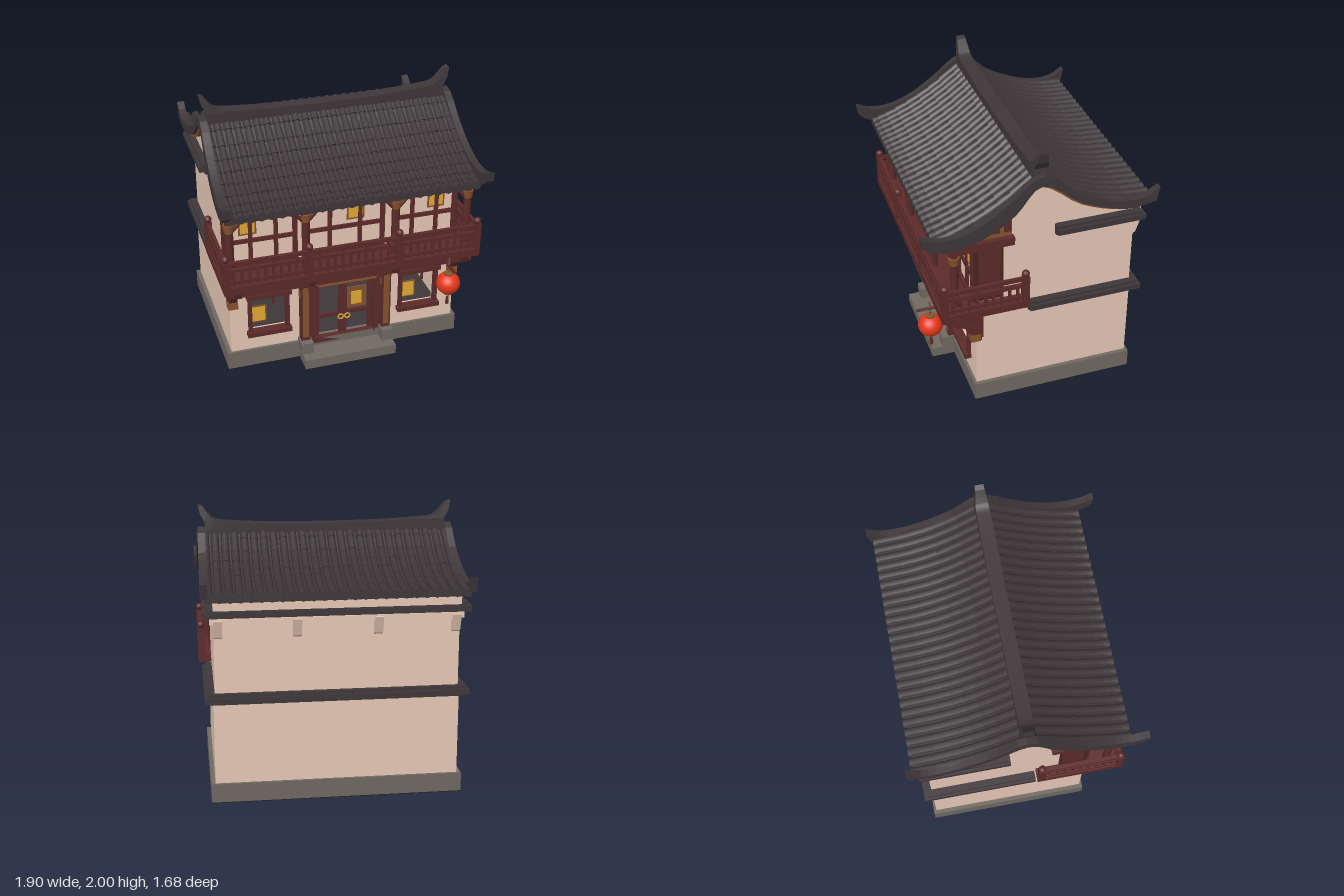
import * as THREE from 'three';
import { mergeGeometries } from 'three/addons/utils/BufferGeometryUtils.js';

const mat = (name, color) => new THREE.MeshStandardMaterial({ name, color });
const V = (x, y, z) => new THREE.Vector3(x, y, z);

export function createModel() {
  const house = new THREE.Group();
  house.name = 'house';
  const tile = mat('charcoal tile', 0x3e3739), plaster = mat('plaster', 0xebccba);
  const wood = mat('dark red wood', 0x5d2a2a), brown = mat('brown wood', 0x87532f);
  const gold = mat('gold', 0xe2ab34), red = mat('lantern red', 0xe43719);
  const stone = mat('stone', 0x706962), darkWood = mat('plaque wood', 0x4c2422);
  const shade = mat('dark underside', 0x211f1c);

  const add = (name, geo, m) => {
    const mesh = new THREE.Mesh(geo, m);
    mesh.name = name;
    house.add(mesh);
    return mesh;
  };
  // box given by its limits on each axis
  const boxGeo = (x0, x1, y0, y1, z0, z1) =>
    new THREE.BoxGeometry(x1 - x0, y1 - y0, z1 - z0).translate((x0 + x1) / 2, (y0 + y1) / 2, (z0 + z1) / 2);
  const box = (name, m, ...b) => add(name, boxGeo(...b), m);
  // round bar between two points
  const rod = (a, b, r0, r1 = r0, sides = 6) => {
    const d = b.clone().sub(a);
    const q = new THREE.Quaternion().setFromUnitVectors(V(0, 1, 0), d.clone().normalize());
    const g = new THREE.CylinderGeometry(r1, r0, d.length(), sides);
    return g.applyQuaternion(q).translate((a.x + b.x) / 2, (a.y + b.y) / 2, (a.z + b.z) / 2);
  };
  const poly = pts => new THREE.Shape(pts.map(p => new THREE.Vector2(p[0], p[1])));
  // side outline of [z, y] points, extruded across x
  const sideSlab = (pts, x0, x1) => new THREE.ExtrudeGeometry(poly(pts), { depth: x1 - x0, bevelEnabled: false })
    .rotateY(-Math.PI / 2).translate(x1, 0, 0);
  const smooth = (pts, n) => new THREE.SplineCurve(pts.map(p => new THREE.Vector2(...p))).getPoints(n).map(p => [p.x, p.y]);
  // move every vertex by a rule
  const warp = (g, rule) => {
    const p = g.attributes.position;
    for (let i = 0; i < p.count; i++) p.setXYZ(i, ...rule(p.getX(i), p.getY(i), p.getZ(i)));
    g.computeVertexNormals();
    return g;
  };
  let seed = 7;
  const rand = () => (seed = (seed * 16807) % 2147483647) / 2147483647;

  // stone plinth, step, pedestals, dark underside and interior floor
  box('plinth', stone, -0.89, 0.89, 0.004, 0.14, -0.72, 0.47);
  box('doorStep', stone, -0.35, 0.35, 0.004, 0.08, 0.46, 0.64);
  box('plinthUnderside', shade, -0.89, 0.89, 0, 0.005, -0.72, 0.47);
  box('stepUnderside', shade, -0.35, 0.35, 0, 0.005, 0.47, 0.64);
  for (const s of [-1, 1]) box('pedestal', stone, s * 0.31 - 0.045, s * 0.31 + 0.045, 0.07, 0.17, 0.44, 0.56);
  box('interiorFloor', tile, -0.82, 0.82, 0.138, 0.146, -0.65, 0.4);

  // lower storey: hollow room with door and window openings
  const front = poly([[-0.86, 0.13], [0.86, 0.13], [0.86, 0.78], [-0.86, 0.78]]);
  const cut = (x0, x1, y0, y1) => front.holes.push(new THREE.Path(
    [[x0, y0], [x0, y1], [x1, y1], [x1, y0]].map(p => new THREE.Vector2(...p))));
  cut(-0.25, 0.25, 0.14, 0.61);
  cut(-0.71, -0.44, 0.29, 0.6);
  cut(0.44, 0.71, 0.29, 0.6);
  add('lowerFrontWall', new THREE.ExtrudeGeometry(front, { depth: 0.05, bevelEnabled: false }).translate(0, 0, 0.4), plaster);
  for (const s of [-1, 1]) box('lowerSideWall', plaster, s * 0.84 - 0.02, s * 0.84 + 0.02, 0.13, 0.78, -0.7, 0.45);
  box('lowerBackWall', plaster, -0.86, 0.86, 0.13, 0.78, -0.7, -0.65);

  // upper storey with gables
  add('upperWalls', sideSlab([[-0.7, 0.76], [0.45, 0.76], [0.45, 1.47], [0.2, 1.62], [0, 1.77],
    [-0.2, 1.635], [-0.4, 1.535], [-0.7, 1.47]], -0.85, 0.85), plaster);
  for (const s of [-1, 1]) {
    const sx = s * 0.852;
    box('sideScreen', darkWood, sx - 0.006, sx + 0.006, 0.87, 1.36, 0.25, 0.46);
    box('sideScreenPanel', wood, sx - 0.009, sx + 0.009, 0.9, 1.33, 0.27, 0.425);
    add('gableInfill', sideSlab([[0.19, 1.36], [0.6, 1.36], [0.6, 1.425], [0.46, 1.45], [0.19, 1.62]], sx - 0.006, sx + 0.006), brown);
    for (const z of [0.2, 0.28]) box('gableStrut', wood, sx - 0.02, sx + 0.02, 1.42, 1.53, z, z + 0.045);
  }

  // tiled bands around the sides and back
  const band = (y, zf) => {
    for (const [d, y0, y1] of [[0.02, y, y + 0.025], [0.06, y + 0.02, y + 0.06], [0.04, y + 0.055, y + 0.08]]) {
      for (const s of [-1, 1]) box('sideBand', tile, s * 0.86 - d, s * 0.86 + d, y0, y1, -0.7 - d, zf);
      box('backBand', tile, -0.86, 0.86, y0, y1, -0.7 - d, -0.66);
    }
  };
  band(0.72, 0.07);
  band(1.32, -0.12);
  for (const x of [-0.82, -0.28, 0.28, 0.82])
    add('corbel', sideSlab([[-0.69, 1.18], [-0.72, 1.2], [-0.76, 1.32], [-0.69, 1.32]], x - 0.03, x + 0.03), plaster);
  box('cornice', plaster, -0.875, 0.875, 1.29, 1.33, -0.73, -0.18);
  box('eaveFillBack', plaster, -0.85, 0.85, 1.39, 1.47, -0.75, -0.69);

  // roof: curved slab with rows of tiles, coarser overlaps in front
  const frontLine = smooth([[0, 1.8], [0.2, 1.65], [0.4, 1.53], [0.6, 1.44], [0.72, 1.4]], 9);
  const backLine = smooth([[0, 1.8], [-0.2, 1.655], [-0.4, 1.555], [-0.6, 1.505], [-0.79, 1.49]], 9);
  const tiles = [], rows = 26;
  for (const [line, wide, narrow] of [[frontLine, 0.031, 0.023], [backLine, 0.03, 0.028]]) {
    const under = line.map(([z, y]) => [z, y - 0.035]).reverse();
    add('roofSlab', sideSlab([...line, ...under], -0.9, 0.9), tile);
    for (let r = 0; r < rows; r++) {
      const x = -0.875 + 1.75 * r / (rows - 1);
      for (let i = 0; i < 9; i++) {
        const [z0, y0] = line[i], [z1, y1] = line[i + 1], lift = rand() * 0.005;
        tiles.push(rod(V(x, y1 + lift, z1), V(x, y0 + lift, z0), wide, narrow, 8));
      }
      const [ze, ye] = line[9];
      tiles.push(rod(V(x, ye - 0.004, ze - 0.012), V(x, ye - 0.004, ze + 0.012), 0.034, 0.034, 8));
    }
  }
  add('roofTiles', mergeGeometries(tiles), tile);

  // upturned gable edges, splayed outwards toward the eaves
  const edgeTop = smooth([[0.84, 1.54], [0.72, 1.495], [0.56, 1.505], [0.4, 1.57], [0.245, 1.67], [0, 1.84],
    [-0.23, 1.67], [-0.5, 1.55], [-0.71, 1.53], [-0.84, 1.595]], 32);
  const edgeLow = smooth([[-0.82, 1.49], [-0.61, 1.465], [-0.29, 1.57], [0, 1.765],
    [0.19, 1.58], [0.4, 1.45], [0.59, 1.4], [0.75, 1.41], [0.83, 1.47]], 32);
  const trimTop = edgeLow.filter(([z]) => z > -0.68 && z < 0.6);
  const trimLow = trimTop.map(([z, y]) => [z * 0.97, y - 0.018]).reverse();
  for (const s of [-1, 1]) {
    const g = sideSlab([...edgeTop, ...edgeLow], s * 0.9 - 0.026, s * 0.9 + 0.026);
    add('gableEdge', warp(g, (x, y, z) => [x + s * (z > 0 ? 0.03 * z : -0.012 * z), y, z]), tile);
    add('gableTrim', sideSlab([...trimTop, ...trimLow], s * 0.88 - 0.025, s * 0.88 + 0.025), brown);
  }

  // ridge with raised horn ends that thin toward the tips
  const ridgeTop = smooth([[-0.885, 1.985], [-0.84, 1.925], [-0.8, 1.89], [-0.71, 1.875], [-0.42, 1.858], [0, 1.853],
    [0.42, 1.858], [0.71, 1.875], [0.8, 1.89], [0.84, 1.925], [0.885, 1.985]], 40);
  const ridge = new THREE.ExtrudeGeometry(poly([[-0.92, 2], ...ridgeTop, [0.92, 2], [0.905, 1.93], [0.87, 1.87], [0.885, 1.79],
    [-0.885, 1.79], [-0.87, 1.87], [-0.905, 1.93]]), { depth: 0.1, bevelEnabled: false }).translate(0, 0, -0.05);
  add('ridge', warp(ridge, (x, y, z) => [x, y, z * (1 - Math.max(0, y - 1.87) * 3)]), tile);

  // eave beams
  box('eaveBeam', wood, -0.9, 0.9, 1.32, 1.37, 0.57, 0.63);
  box('eaveSoffit', brown, -0.88, 0.88, 1.365, 1.39, 0.44, 0.7);
  for (const x of [-0.87, -0.33, 0.33, 0.87]) {
    // balcony columns and roof brackets
    add('upperColumn', rod(V(x, 0.85, 0.6), V(x, 1.38, 0.6), 0.03, 0.028, 8), wood);
    add('columnCollar', rod(V(x, 1.24, 0.6), V(x, 1.3, 0.6), 0.034, 0.042, 8), brown);
    box('crossBeam', wood, x - 0.025, x + 0.025, 1.32, 1.38, 0.18, 0.64);
    for (const s of [-1, 1]) if (Math.abs(x + s * 0.1) < 0.9)
      add('cornerBrace', rod(V(x, 1.22, 0.6), V(x + s * 0.1, 1.33, 0.6), 0.014), wood);
  }

  // balcony deck
  box('balconyDeck', wood, -0.94, 0.94, 0.8, 0.86, 0.08, 0.71);
  box('balconyBeam', wood, -0.9, 0.9, 0.745, 0.81, 0.6, 0.67);
  box('innerBeam', wood, -0.87, 0.87, 0.735, 0.8, 0.44, 0.5);

  // railing
  const post = (x, z) => {
    box('railPost', wood, x - 0.024, x + 0.024, 0.82, 1.06, z - 0.024, z + 0.024);
    add('postKnob', new THREE.SphereGeometry(0.028, 10, 8).translate(x, 1.08, z), wood);
  };
  for (const x of [-0.92, -0.33, 0.33, 0.92]) post(x, 0.685);
  for (const y of [0.89, 0.985, 1.04]) box('frontRail', wood, -0.92, 0.92, y - 0.013, y + 0.013, 0.672, 0.698);
  const bars = [];
  for (let i = 1; i < 33; i++) {
    const x = -0.92 + 1.84 * i / 33;
    bars.push(boxGeo(x - 0.009, x + 0.009, 0.86, i % 3 ? 0.985 : 1.04, 0.677, 0.693));
  }
  for (const s of [-1, 1]) {
    post(s * 0.92, 0.11);
    for (const y of [0.89, 0.985, 1.04]) box('sideRail', wood, s * 0.92 - 0.013, s * 0.92 + 0.013, y - 0.013, y + 0.013, 0.11, 0.685);
    for (let i = 1; i < 10; i++) {
      const z = 0.11 + 0.0575 * i;
      bars.push(boxGeo(s * 0.92 - 0.008, s * 0.92 + 0.008, 0.86, i % 3 ? 0.985 : 1.04, z - 0.009, z + 0.009));
    }
  }
  add('balusters', mergeGeometries(bars), wood);

  // lower columns and balcony brackets
  for (const s of [-1, 1]) {
    box('doorColumn', wood, s * 0.31 - 0.034, s * 0.31 + 0.034, 0.16, 0.76, 0.45, 0.51);
    box('columnFace', brown, s * 0.31 - 0.022, s * 0.31 + 0.022, 0.2, 0.72, 0.508, 0.514);
  }
  for (const x of [-0.84, -0.31, 0.31, 0.84]) {
    box('bracketPost', wood, x - 0.034, x + 0.034, 0.56, 0.78, 0.4, 0.475);
    add('bracketArm', sideSlab([[0.41, 0.53], [0.46, 0.54], [0.53, 0.66], [0.68, 0.745], [0.7, 0.8], [0.58, 0.78], [0.41, 0.62]],
      x - 0.028, x + 0.028), wood);
    box('bracketFoot', brown, x - 0.036, x + 0.036, 0.53, 0.59, 0.42, 0.49);
  }

  // framed opening, used for doors and windows
  const frame = (name, x0, x1, y0, y1, z, t) => {
    for (const x of [x0, x1]) box(name, wood, x - t, x + t, y0, y1, z - 0.02, z + 0.02);
    for (const y of [y0, y1]) box(name, wood, x0 - t, x1 + t, y - t, y + t, z - 0.02, z + 0.02);
  };
  for (const s of [-1, 1]) {
    frame('windowFrame', s * 0.575 - 0.14, s * 0.575 + 0.14, 0.29, 0.6, 0.455, 0.014);
    for (const y of [0.285, 0.605]) box('windowLedge', wood, s * 0.575 - 0.165, s * 0.575 + 0.165, y - 0.017, y + 0.017, 0.43, 0.5);
    box('windowPane', brown, s * 0.575 - 0.13, s * 0.575 - 0.01, 0.35, 0.49, 0.423, 0.429);
    box('windowGlow', gold, s * 0.575 - 0.13, s * 0.575 - 0.02, 0.36, 0.48, 0.425, 0.432);
    box('windowBar', wood, s * 0.575 + 0.035, s * 0.575 + 0.05, 0.49, 0.6, 0.42, 0.44);
  }

  // double door
  frame('doorFrame', -0.25, 0.25, 0.12, 0.605, 0.45, 0.022);
  box('doorStile', wood, -0.035, 0.025, 0.14, 0.6, 0.42, 0.445);
  for (const s of [-1, 1]) {
    box('doorRail', wood, s * 0.125 - 0.115, s * 0.125 + 0.115, 0.295, 0.325, 0.42, 0.44);
    box('doorEdge', wood, s * 0.21 - 0.02, s * 0.21 + 0.02, 0.14, 0.6, 0.42, 0.44);
    add('doorHandle', new THREE.TorusGeometry(0.02, 0.006, 6, 14).translate(s * 0.025, 0.29, 0.455), gold);
  }
  box('doorPane', brown, 0.03, 0.18, 0.34, 0.52, 0.425, 0.432);
  box('doorGlow', gold, 0.06, 0.14, 0.37, 0.48, 0.432, 0.437);

  // plaque over the door
  box('plaque', darkWood, -0.23, 0.23, 0.635, 0.755, 0.5, 0.53);
  for (const y of [0.64, 0.765]) box('plaqueTrim', brown, -0.22, 0.22, y - 0.008, y + 0.008, 0.5, 0.538);
  for (const s of [-1, 1]) add('plaqueScroll', rod(V(s * 0.23, 0.65, 0.53), V(s * 0.25, 0.78, 0.53), 0.008), gold);

  // upper screens with glowing panes
  for (const [x, w] of [[-0.6, 0.23], [0, 0.28], [0.6, 0.23]]) {
    frame('upperScreen', x - w, x + w, 0.88, 1.31, 0.455, 0.016);
    for (const s of [-1, 1]) box('screenMullion', wood, x + s * w * 0.4 - 0.014, x + s * w * 0.4 + 0.014, 0.87, 1.3, 0.445, 0.468);
    box('screenRail', wood, x - w, x + w, 1.05, 1.08, 0.445, 0.466);
  }
  for (const x of [-0.71, 0.08, 0.69]) {
    box('upperPane', brown, x - 0.065, x + 0.065, 1.11, 1.25, 0.448, 0.454);
    box('upperGlow', gold, x - 0.052, x + 0.052, 1.125, 1.24, 0.45, 0.458);
  }

  // hanging lantern
  const lx = 0.7, lz = 0.735;
  add('lanternArm', rod(V(lx, 0.77, 0.62), V(lx, 0.77, 0.83), 0.011), wood);
  add('lanternCord', rod(V(lx, 0.7, lz), V(lx, 0.83, lz), 0.006), brown);
  add('lantern', new THREE.SphereGeometry(0.088, 20, 14).scale(1, 0.94, 1).translate(lx, 0.625, lz), red);
  for (const y of [0.705, 0.545]) add('lanternCap', rod(V(lx, y - 0.008, lz), V(lx, y + 0.008, lz), 0.034, 0.034, 14), brown);
  add('tasselCord', rod(V(lx, 0.49, lz), V(lx, 0.54, lz), 0.005), gold);
  add('tassel', rod(V(lx, 0.45, lz), V(lx, 0.51, lz), 0.015, 0.009, 8), wood);

  return house;
}
